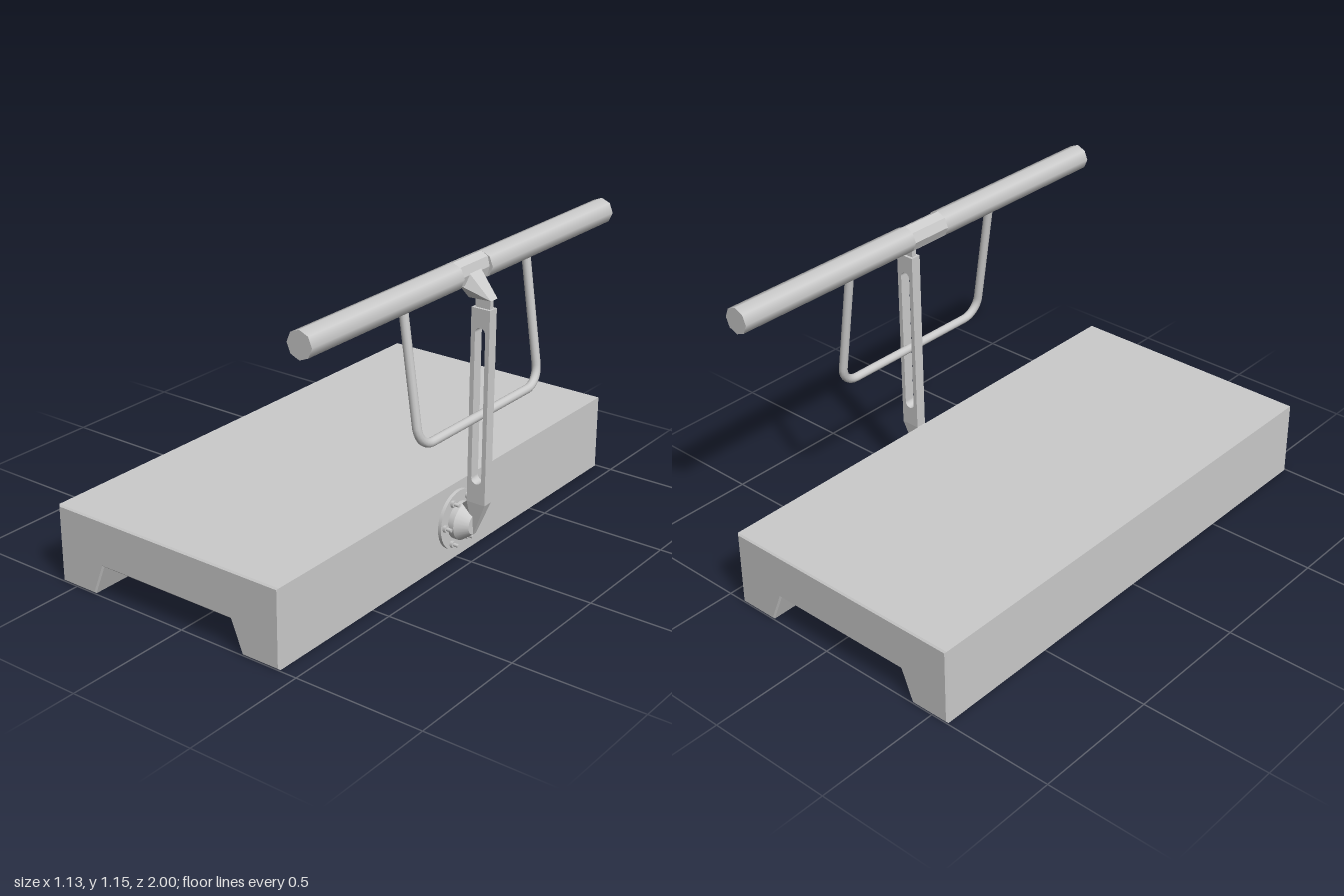
import * as THREE from 'three';
import { ConvexGeometry } from 'three/addons/geometries/ConvexGeometry.js';

const grey = new THREE.MeshStandardMaterial({ color: 0xcccccc });

function add(parent, name, geometry, x = 0, y = 0, z = 0) {
  const mesh = new THREE.Mesh(geometry, grey);
  mesh.name = name;
  mesh.position.set(x, y, z);
  parent.add(mesh);
  return mesh;
}

// Extrude an x-y outline along z, centred on z = 0
function extrude(shape, depth, bevel = 0) {
  const g = new THREE.ExtrudeGeometry(shape, {
    depth: depth - 2 * bevel, bevelEnabled: bevel > 0, bevelThickness: bevel,
    bevelSize: bevel, bevelOffset: -bevel, bevelSegments: 1, curveSegments: 10,
  });
  return g.translate(0, 0, -depth / 2 + bevel);
}

const outline = (pts) => new THREE.Shape(pts.map(([x, y]) => new THREE.Vector2(x, y)));

// Tapered solid, symmetric in z, from corners [x, y, halfWidth]
function tapered(corners) {
  return new ConvexGeometry(corners.flatMap(([x, y, w]) =>
    [new THREE.Vector3(x, y, w), new THREE.Vector3(x, y, -w)]));
}

// Cylinder lying along x, from x0 to x1
function disc(x0, x1, r0, r1, sides) {
  return new THREE.CylinderGeometry(r1, r0, x1 - x0, sides)
    .rotateZ(-Math.PI / 2).translate((x0 + x1) / 2, 0, 0);
}

export function createModel() {
  const model = new THREE.Group();
  model.name = 'slabWithHandrail';

  // Slab with a channel along its underside
  add(model, 'slab', extrude(outline([
    [-0.57, 0], [-0.41, 0], [-0.362, 0.12], [0.222, 0.12],
    [0.27, 0], [0.43, 0], [0.43, 0.3], [-0.57, 0.3],
  ]), 2, 0.006));

  // Bolted flange and conical hub on the side of the slab
  const mount = new THREE.Group();
  mount.name = 'mount';
  mount.position.y = 0.155;
  model.add(mount);
  add(mount, 'flange', disc(0.425, 0.443, 0.115, 0.115, 32));
  add(mount, 'hubCollar', disc(0.443, 0.466, 0.072, 0.072, 24));
  add(mount, 'hubCone', disc(0.466, 0.51, 0.072, 0.039, 24));
  for (let i = 0; i < 6; i++) {
    const a = (i * Math.PI) / 3;
    const y = 0.093 * Math.sin(a), z = 0.093 * Math.cos(a);
    add(mount, 'nut', disc(0.443, 0.454, 0.014, 0.014, 6), 0, y, z);
    add(mount, 'boltShank', disc(0.443, 0.474, 0.007, 0.007, 10), 0, y, z);
  }

  // Upright post with a long rounded slot
  const post = outline([[0.487, 0.25], [0.563, 0.25], [0.563, 0.985], [0.487, 0.985]]);
  const slot = new THREE.Path();
  slot.absarc(0.525, 0.346, 0.021, Math.PI, 2 * Math.PI, false);
  slot.absarc(0.525, 0.894, 0.021, 0, Math.PI, false);
  slot.closePath();
  post.holes.push(slot);
  add(model, 'post', extrude(post, 0.042));
  add(model, 'postFoot', tapered([
    [0.487, 0.25, 0.021], [0.563, 0.25, 0.021], [0.463, 0.23, 0.012], [0.51, 0.117, 0.009],
  ]));
  add(model, 'postNeck', new THREE.BoxGeometry(0.061, 0.045, 0.02), 0.5255, 1.003, 0);

  // Bracket flaring from the neck to the rail
  add(model, 'railBracket', tapered([
    [0.474, 1.12, 0.037], [0.46, 1.068, 0.06], [0.48, 1.02, 0.028], [0.565, 1.02, 0.02],
  ]));

  // Eight-sided rail, relieved in the middle where the bracket sits
  for (const s of [-1, 1]) {
    const length = 0.815;
    add(model, 'rail', new THREE.CylinderGeometry(0.05, 0.05, length, 8).rotateX(Math.PI / 2),
      0.45, 1.102, s * (0.085 + length / 2));
  }
  add(model, 'railMiddle', extrude(outline([
    [0.028, -0.036], [0.037, 0], [0.028, 0.036], [0, 0.05],
    [-0.0354, 0.0354], [-0.05, 0], [-0.0354, -0.0354], [0, -0.05],
  ]), 0.17), 0.45, 1.102, 0);

  // Bent loop hanging from the rail, leaning outward toward its foot
  const top = new THREE.Vector3(0.45, 1.09, 0), foot = new THREE.Vector3(0.525, 0.588, 0);
  const at = (t, z) => top.clone().lerp(foot, t).setZ(z);
  const w = 0.37, r = 0.075, bend = 1 - r / top.distanceTo(foot);
  const path = new THREE.CurvePath();
  path.add(new THREE.LineCurve3(at(0, w), at(bend, w)));
  const k = 0.552;
  const corner = (s, t) => at(1 - (1 - bend) * t, s);
  path.add(new THREE.CubicBezierCurve3(at(bend, w), corner(w, 1 - k), at(1, w - r * (1 - k)), at(1, w - r)));
  path.add(new THREE.LineCurve3(at(1, w - r), at(1, r - w)));
  path.add(new THREE.CubicBezierCurve3(at(1, r - w), at(1, r * (1 - k) - w), corner(-w, 1 - k), at(bend, -w)));
  path.add(new THREE.LineCurve3(at(bend, -w), at(0, -w)));
  add(model, 'handleLoop', new THREE.TubeGeometry(path, 120, 0.0165, 12, false));

  return model;
}
